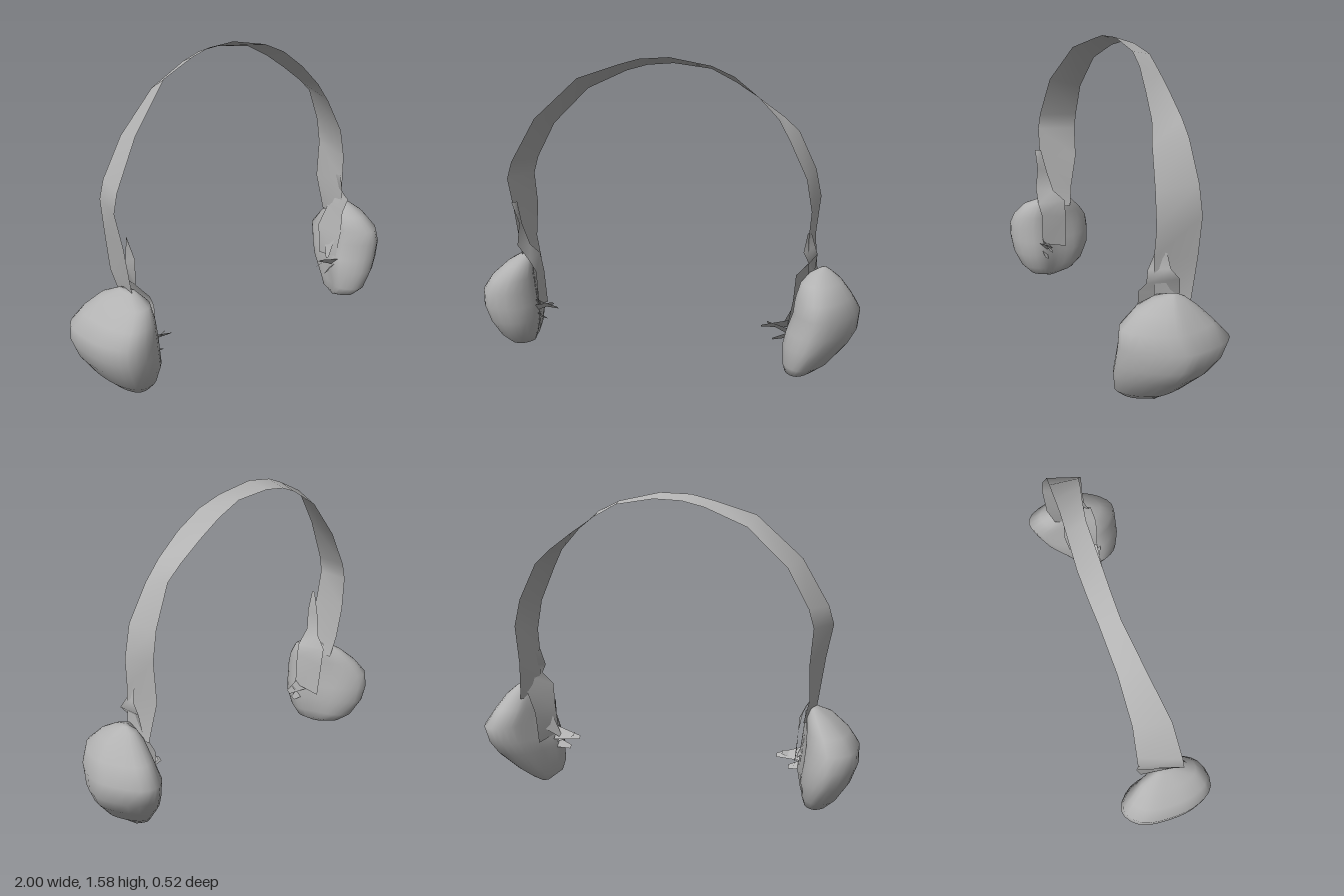
import * as THREE from 'three';

const grey = new THREE.MeshStandardMaterial({ color: 0xb2b2b2, side: THREE.DoubleSide });
grey.name = 'plain grey';

function gridMesh(name, rows, closed, caps) {
  const n = rows[0].length, pos = rows.flat().flatMap(p => [p.x, p.y, p.z]), idx = [];
  for (let i = 0; i < rows.length - 1; i++)
    for (let j = 0; j < (closed ? n : n - 1); j++) {
      const a = i * n + j, b = i * n + (j + 1) % n;
      idx.push(a, a + n, b, b, a + n, b + n);
    }
  // close the first and last loop with a fan
  if (caps) for (const r of [0, rows.length - 1]) {
    const c = rows[r].reduce((s, p) => s.add(p), new THREE.Vector3()).divideScalar(n);
    pos.push(c.x, c.y, c.z);
    const k = pos.length / 3 - 1;
    for (let j = 0; j < n; j++) {
      const a = r * n + j, b = r * n + (j + 1) % n;
      idx.push(...(r ? [a, k, b] : [a, b, k]));
    }
  }
  const g = new THREE.BufferGeometry();
  g.setAttribute('position', new THREE.Float32BufferAttribute(pos, 3));
  g.setIndex(idx);
  g.computeVertexNormals();
  const m = new THREE.Mesh(g, grey);
  m.name = name;
  return m;
}

// thin strip: each row holds a front-edge point and a back-edge point
const ribbon = (name, rows) => gridMesh(name, rows.map(r =>
  [new THREE.Vector3(r[0], r[1], r[2]), new THREE.Vector3(r[3], r[4], r[5])]), false, false);

// ear cup: one plan outline (u inner to outer, v back to front) fitted to a stack of levels
function cup(name, side, outline, levels) {
  const plan = new THREE.CatmullRomCurve3(
    outline.map(([u, v]) => new THREE.Vector3(u, 0, v)), true).getPoints(28).slice(0, 28);
  const rows = levels.map(([y, xIn, xOut, zBack, zFront]) => plan.map(p => new THREE.Vector3(
    side * (xIn + (xOut - xIn) * p.x), y, zBack + (zFront - zBack) * p.z)));
  if (side < 0) rows.forEach(r => r.reverse());
  return gridMesh(name, rows, true, true);
}

export function createModel() {
  const model = new THREE.Group();
  model.name = 'headphones';

  // headband, from the right ear over the top to the left ear
  model.add(ribbon('headband', [
    [-0.77, 0.46, 0.06, -0.74, 0.48, -0.10],
    [-0.79, 0.58, 0.06, -0.77, 0.60, -0.12],
    [-0.82, 0.78, 0.06, -0.77, 0.78, -0.15],
    [-0.855, 0.95, 0.055, -0.785, 0.95, -0.15],
    [-0.83, 1.04, 0.05, -0.76, 1.04, -0.15],
    [-0.70, 1.27, 0.03, -0.655, 1.23, -0.14],
    [-0.48, 1.48, -0.03, -0.46, 1.42, -0.145],
    [-0.27, 1.55, -0.065, -0.25, 1.515, -0.16],
    [-0.16, 1.58, -0.07, -0.14, 1.545, -0.17],
    [0, 1.59, -0.07, 0, 1.555, -0.175],
    [0.22, 1.55, -0.065, 0.20, 1.53, -0.165],
    [0.34, 1.50, -0.045, 0.33, 1.465, -0.155],
    [0.46, 1.41, -0.02, 0.45, 1.39, -0.15],
    [0.57, 1.30, 0.0, 0.58, 1.30, -0.145],
    [0.63, 1.20, 0.025, 0.66, 1.23, -0.14],
    [0.72, 1.02, 0.05, 0.75, 1.04, -0.15],
    [0.75, 0.86, 0.055, 0.78, 0.90, -0.155],
    [0.74, 0.72, 0.06, 0.76, 0.70, -0.15],
    [0.75, 0.48, 0.06, 0.78, 0.50, -0.11],
  ]));

  // ear cups
  model.add(cup('leftEarCup', 1,
    [[0.36, 0.1], [0.6, 0], [0.83, 0.07], [1, 0.38], [1, 0.55], [0.77, 0.85],
      [0.45, 1], [0.18, 0.92], [0, 0.7], [0.14, 0.45], [0.25, 0.25]],
    [[0.01, 0.70, 0.74, 0.03, 0.06], [0.05, 0.65, 0.79, -0.04, 0.19],
      [0.10, 0.64, 0.86, -0.09, 0.24], [0.20, 0.635, 0.95, -0.18, 0.26],
      [0.27, 0.65, 0.99, -0.22, 0.26], [0.36, 0.68, 1.0, -0.25, 0.26],
      [0.44, 0.69, 0.96, -0.18, 0.25], [0.51, 0.71, 0.91, -0.11, 0.17],
      [0.55, 0.75, 0.86, -0.06, 0.09], [0.57, 0.80, 0.83, -0.02, 0.02]]));
  model.add(cup('rightEarCup', -1,
    [[0.25, 0.18], [0.6, 0], [0.93, 0.16], [1, 0.5], [0.95, 0.75], [0.75, 0.97],
      [0.28, 0.97], [0.02, 0.75], [0.12, 0.5]],
    [[0.03, 0.77, 0.81, -0.02, 0.04], [0.06, 0.72, 0.86, -0.13, 0.14],
      [0.11, 0.70, 0.91, -0.20, 0.19], [0.20, 0.68, 0.97, -0.25, 0.23],
      [0.28, 0.69, 1.0, -0.26, 0.24], [0.36, 0.70, 1.0, -0.25, 0.24],
      [0.43, 0.71, 0.95, -0.20, 0.22], [0.50, 0.72, 0.87, -0.13, 0.17],
      [0.54, 0.75, 0.80, -0.04, 0.06]]));

  // crumpled hinge strips running from the band into the cups
  model.add(ribbon('leftHinge', [
    [0.735, 0.75, 0.05, 0.75, 0.74, 0.0],
    [0.72, 0.66, 0.08, 0.77, 0.67, -0.01],
    [0.75, 0.61, 0.10, 0.78, 0.62, -0.05],
    [0.69, 0.55, 0.11, 0.77, 0.54, -0.06],
    [0.68, 0.42, 0.11, 0.71, 0.42, -0.08],
    [0.655, 0.28, 0.10, 0.70, 0.25, -0.06],
  ]));
  model.add(ribbon('rightHinge', [
    [-0.82, 0.83, 0.09, -0.80, 0.83, 0.06],
    [-0.78, 0.72, 0.09, -0.79, 0.70, 0.03],
    [-0.79, 0.60, 0.10, -0.76, 0.58, 0.0],
    [-0.72, 0.52, 0.11, -0.73, 0.52, -0.06],
    [-0.69, 0.46, 0.10, -0.71, 0.42, -0.06],
    [-0.68, 0.28, 0.10, -0.69, 0.24, -0.05],
  ]));

  // ragged splinters on the inner face of each cup
  const splinters = [
    [0.66, 0.28, 0.07, 0.52, 0.26, 0.08, 0.03],
    [0.66, 0.25, 0.10, 0.55, 0.28, 0.07, 0.025],
    [0.65, 0.22, 0.08, 0.58, 0.20, 0.09, 0.02],
    [0.69, 0.36, 0.03, 0.63, 0.27, 0.06, 0.04],
  ];
  for (const side of [1, -1]) {
    const group = new THREE.Group();
    group.name = side > 0 ? 'leftInnerSplinters' : 'rightInnerSplinters';
    const shift = side > 0 ? 0 : 0.06;
    for (const [x, y, z, tx, ty, tz, w] of splinters) {
      group.add(ribbon('splinter', [
        [side * (x + shift), y + w, z + w, side * (x + shift), y - w, z - w],
        [side * (tx + shift), ty + 0.008, tz + 0.01, side * (tx + shift), ty - 0.008, tz - 0.01],
      ]));
    }
    model.add(group);
  }
  return model;
}
